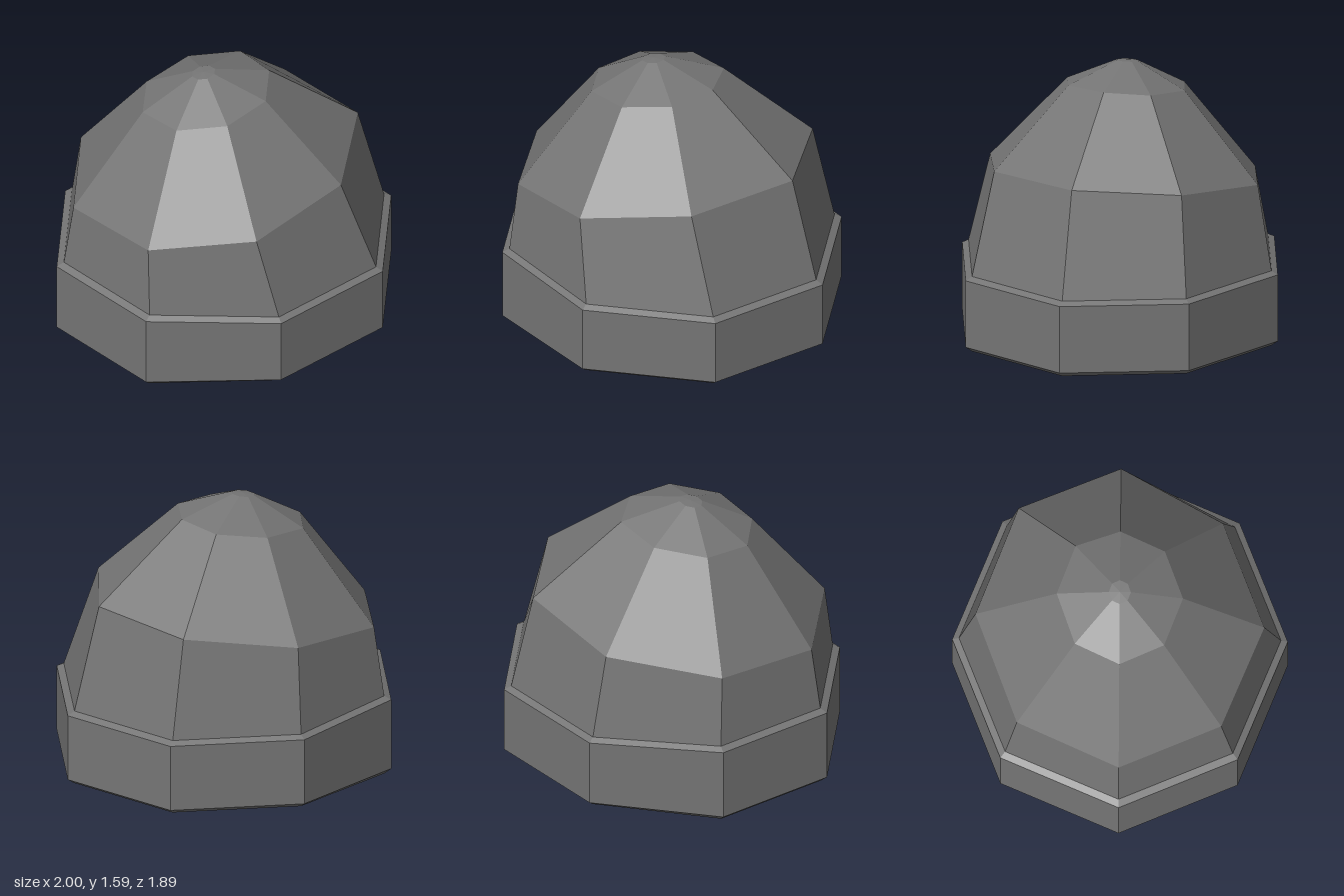
import * as THREE from 'three';

const SIDES = 8;
const material = new THREE.MeshStandardMaterial({ color: 0x757575 });

// One octagonal ring. tilt raises the +x side, skew swings the front towards -x
// and the back towards +x, bow moves both towards -x, sag lowers the -x side.
function ring({ cx = 0, rx, rz, y, tilt = 0, skew = 0, bow = 0, sag = 0 }) {
  const points = [];
  for (let i = 0; i < SIDES; i++) {
    const a = (i / SIDES) * Math.PI * 2;
    const c = Math.cos(a), s = Math.sin(a);
    points.push(new THREE.Vector3(
      cx + rx * c - (1 + c) * (skew * s + bow * Math.abs(s)),
      y + tilt * c - (c < -0.5 ? sag : 0),
      rz * s
    ));
  }
  return points;
}

// Skin the rings in order with one normal per panel; faces point outward where the rings rise.
function loft(name, specs) {
  const rings = specs.map(ring);
  const positions = [], normals = [];
  for (let k = 0; k < rings.length - 1; k++) {
    const lo = rings[k], hi = rings[k + 1];
    for (let i = 0; i < SIDES; i++) {
      const j = (i + 1) % SIDES;
      const normal = hi[i].clone().sub(lo[j]).cross(hi[j].clone().sub(lo[i])).normalize();
      const corners = [];
      if (specs[k].rx > 0) corners.push(lo[j], lo[i], hi[i]);
      if (specs[k + 1].rx > 0) corners.push(lo[j], hi[i], hi[j]);
      for (const p of corners) {
        positions.push(p.x, p.y, p.z);
        normals.push(normal.x, normal.y, normal.z);
      }
    }
  }
  const geometry = new THREE.BufferGeometry();
  geometry.setAttribute('position', new THREE.Float32BufferAttribute(positions, 3));
  geometry.setAttribute('normal', new THREE.Float32BufferAttribute(normals, 3));
  const mesh = new THREE.Mesh(geometry, material);
  mesh.name = name;
  return mesh;
}

export function createModel() {
  const group = new THREE.Group();
  group.name = 'knitCap';

  const hem = { rx: 0.96, rz: 0.905, y: 0.037, sag: 0.035 };
  const crownBase = { rx: 0.957, rz: 0.905, y: 0.475 };

  // Hollow underside: flat ceiling, then two sloping bands down to the hem
  group.add(loft('lining', [
    { rx: 0, rz: 0, y: 0.29 },
    { rx: 0.71, rz: 0.67, y: 0.29 },
    { rx: 0.87, rz: 0.82, y: 0.15 },
    hem,
  ]));

  // Folded brim with bevelled edges, drooping slightly on one side
  group.add(loft('cuff', [
    hem,
    { rx: 1, rz: 0.943, y: 0.065, sag: 0.03 },
    { rx: 1, rz: 0.943, y: 0.455 },
    crownBase,
  ]));

  // Lopsided crown
  group.add(loft('crown', [
    crownBase,
    { cx: -0.05, rx: 0.85, rz: 0.812, y: 0.96, tilt: 0.12, skew: 0.034, bow: 0.016 },
    { cx: -0.108, rx: 0.378, rz: 0.355, y: 1.452, tilt: 0.052, skew: 0.012, bow: -0.011 },
    { cx: -0.122, rx: 0.068, rz: 0.062, y: 1.585, tilt: 0.01 },
    { cx: -0.122, rx: 0, rz: 0, y: 1.59 },
  ]));

  return group;
}
